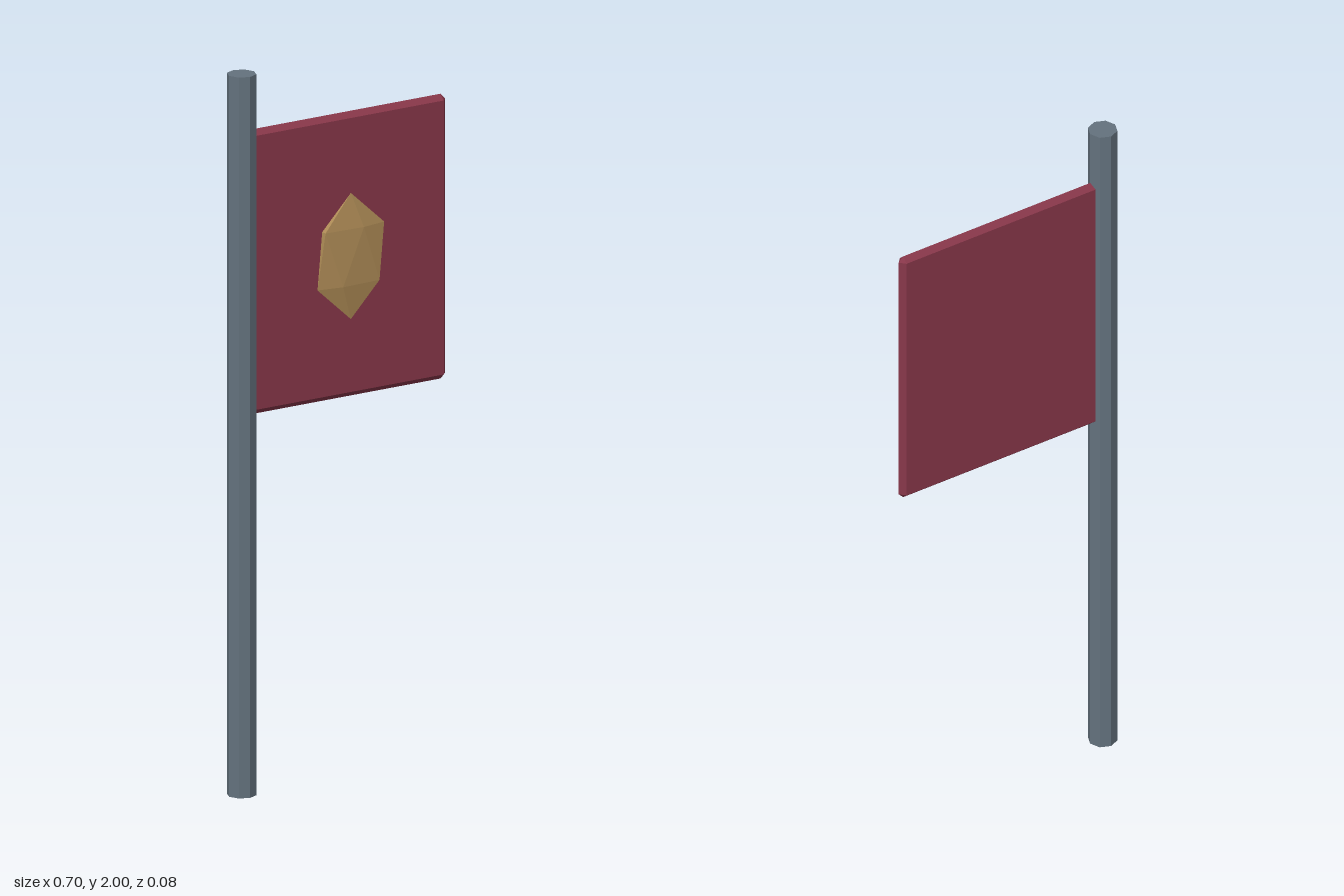
import * as THREE from 'three';
import { ConvexGeometry } from 'three/addons/geometries/ConvexGeometry.js';

function material(name, color) {
  const m = new THREE.MeshStandardMaterial({ color, flatShading: true });
  m.name = name;
  return m;
}

// Thin panel whose edges come to a ridge halfway through its thickness
function panelGeometry(width, height, depth, bevel) {
  const points = [];
  const w = width / 2, h = height / 2, d = depth / 2;
  for (const sx of [-1, 1]) for (const sy of [-1, 1]) {
    for (const sz of [-1, 1]) {
      points.push(new THREE.Vector3(sx * (w - bevel), sy * (h - bevel), sz * d));
    }
    points.push(new THREE.Vector3(sx * w, sy * (h - bevel), 0));
    points.push(new THREE.Vector3(sx * (w - bevel), sy * h, 0));
  }
  return new ConvexGeometry(points);
}

// Twenty-sided gem: two poles and two staggered rings of five
function gemGeometry(rx, ry, rz) {
  const points = [new THREE.Vector3(0, ry, 0), new THREE.Vector3(0, -ry, 0)];
  const level = 1 / Math.sqrt(5), ring = 2 / Math.sqrt(5);
  for (let i = 0; i < 5; i++) {
    const a = (i * 2 * Math.PI) / 5;
    const x = Math.cos(a) * ring * rx, z = Math.sin(a) * ring * rz;
    points.push(new THREE.Vector3(x, level * ry, z), new THREE.Vector3(-x, -level * ry, z));
  }
  return new ConvexGeometry(points);
}

export function createModel() {
  const model = new THREE.Group();
  model.name = 'bannerOnPole';
  const add = (name, geometry, mat, x, y, z) => {
    const mesh = new THREE.Mesh(geometry, mat);
    mesh.name = name;
    mesh.position.set(x, y, z);
    model.add(mesh);
  };

  // Eight-sided pole
  add('pole', new THREE.CylinderGeometry(0.04, 0.04, 2, 8), material('slateMetal', 0x64727e), -0.308, 1, 0);

  // Cloth, with its inner edge buried in the pole
  add('bannerCloth', panelGeometry(0.655, 0.79, 0.032, 0.015), material('crimsonCloth', 0x88374a), 0.02, 1.445, 0);

  // Flattened gem on the front of the cloth
  add('emblem', gemGeometry(0.12, 0.175, 0.0155), material('oldGold', 0xb08d57), 0.0275, 1.445, 0.024);

  return model;
}
